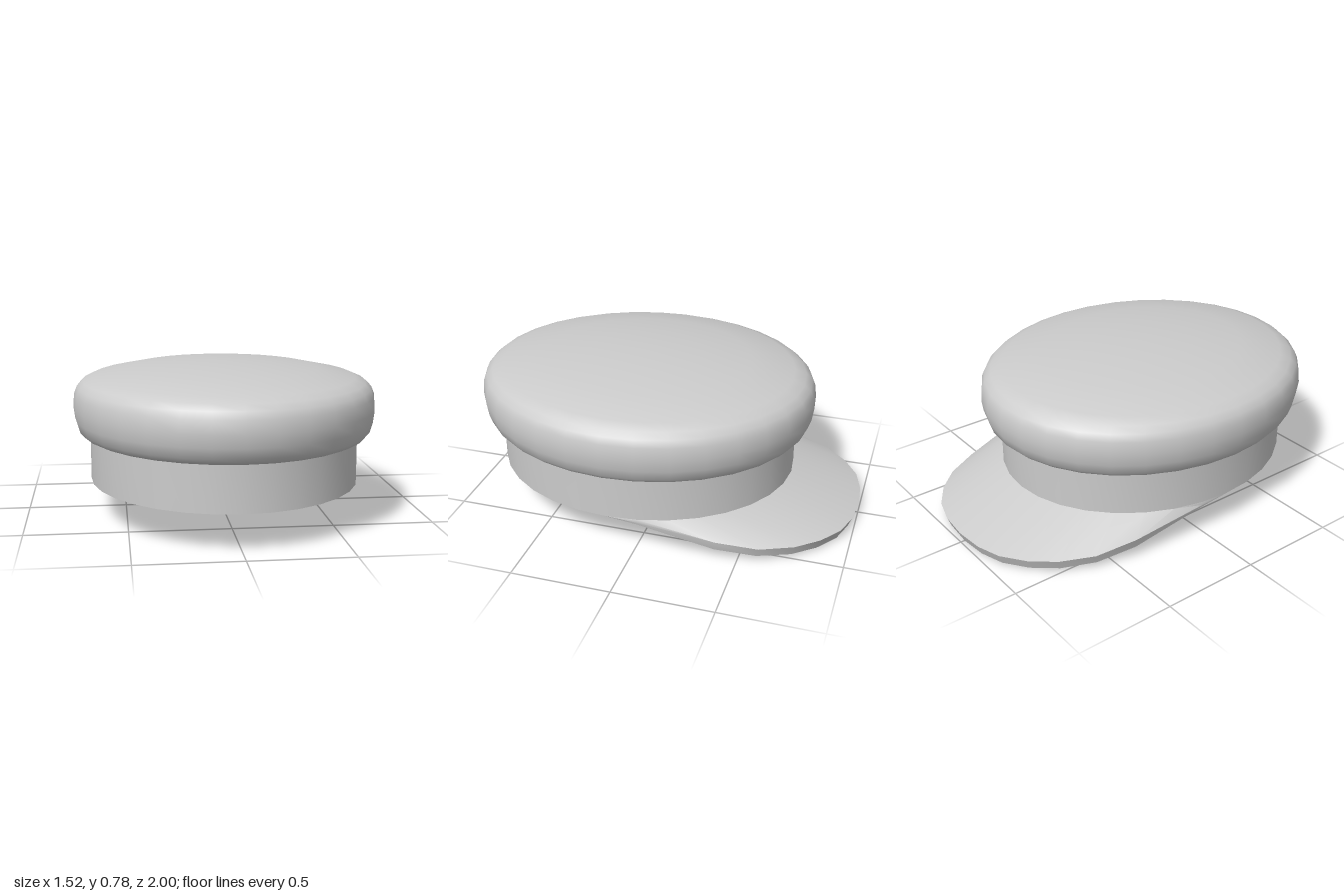
import * as THREE from 'three';
import { toCreasedNormals } from 'three/addons/utils/BufferGeometryUtils.js';

const CENTRE_Z = 0.133;   // centre of the oval head
const OVAL = 1.146;       // length to width ratio of the oval
const BAND_R = 0.675, INNER_R = 0.6, BAND_Y = 0.187;

const material = new THREE.MeshStandardMaterial({ color: 0xcccccc });

function addMesh(group, name, geometry, crease) {
  const mesh = new THREE.Mesh(toCreasedNormals(geometry, crease), material);
  mesh.name = name;
  group.add(mesh);
}

// Oval part turned from a profile of [radius, height]
function ovalLathe(profile) {
  const geometry = new THREE.LatheGeometry(profile.map(([r, y]) => new THREE.Vector2(r, y)), 32);
  geometry.scale(1, 1, OVAL);
  geometry.translate(0, 0, CENTRE_Z);
  return geometry;
}

// Curved peak lofted between the band and its outer rim
function visorGeometry() {
  // Outer rim, from the side to the middle: x, z, top height, rim thickness
  const half = [
    [0.675, 0.14, 0.187, 0], [0.665, -0.02, 0.172, 0.012], [0.63, -0.4, 0.11, 0.048],
    [0.58, -0.6, 0.077, 0.046], [0.5, -0.76, 0.07, 0.05], [0.4, -0.87, 0.065, 0.051],
    [0.28, -0.95, 0.06, 0.051], [0.15, -0.988, 0.056, 0.051], [0, -1, 0.055, 0.053],
  ];
  const rim = [...half, ...half.slice(0, -1).reverse().map(([x, z, y, t]) => [-x, z, y, t])];
  const positions = [], indices = [];
  rim.forEach(([x, z, y, t], i) => {
    const a = (i / (rim.length - 1)) * Math.PI;
    const onBand = (r) => [r * Math.cos(a), BAND_Y, CENTRE_Z - r * OVAL * Math.sin(a)];
    const inset = 1 - 0.4 * t;
    positions.push(...onBand(BAND_R), x, y, z, x * inset, y - t, z * inset, ...onBand(INNER_R));
    if (i === 0) return;
    for (let j = 0; j < 3; j++) {
      const p = (i - 1) * 4 + j, q = i * 4 + j;
      indices.push(p, p + 1, q + 1, p, q + 1, q);
    }
  });
  const geometry = new THREE.BufferGeometry();
  geometry.setAttribute('position', new THREE.Float32BufferAttribute(positions, 3));
  geometry.setIndex(indices);
  return geometry;
}

export function createModel() {
  const cap = new THREE.Group();
  cap.name = 'cap';

  // Puffed crown with a shallow domed top
  addMesh(cap, 'crown', ovalLathe([
    [0.66, 0.412], [0.69, 0.415], [0.715, 0.427], [0.735, 0.45], [0.75, 0.5], [0.758, 0.56],
    [0.752, 0.625], [0.738, 0.66], [0.71, 0.688], [0.66, 0.71], [0.47, 0.75],
    [0.25, 0.772], [0, 0.783],
  ]), 0.8);

  // Head band with its hollow inside and flat ceiling
  addMesh(cap, 'band', ovalLathe([
    [0, 0.61], [INNER_R, 0.61], [INNER_R, BAND_Y], [BAND_R, BAND_Y], [BAND_R, 0.42],
  ]), 0.6);

  addMesh(cap, 'visor', visorGeometry(), 0.6);
  return cap;
}
